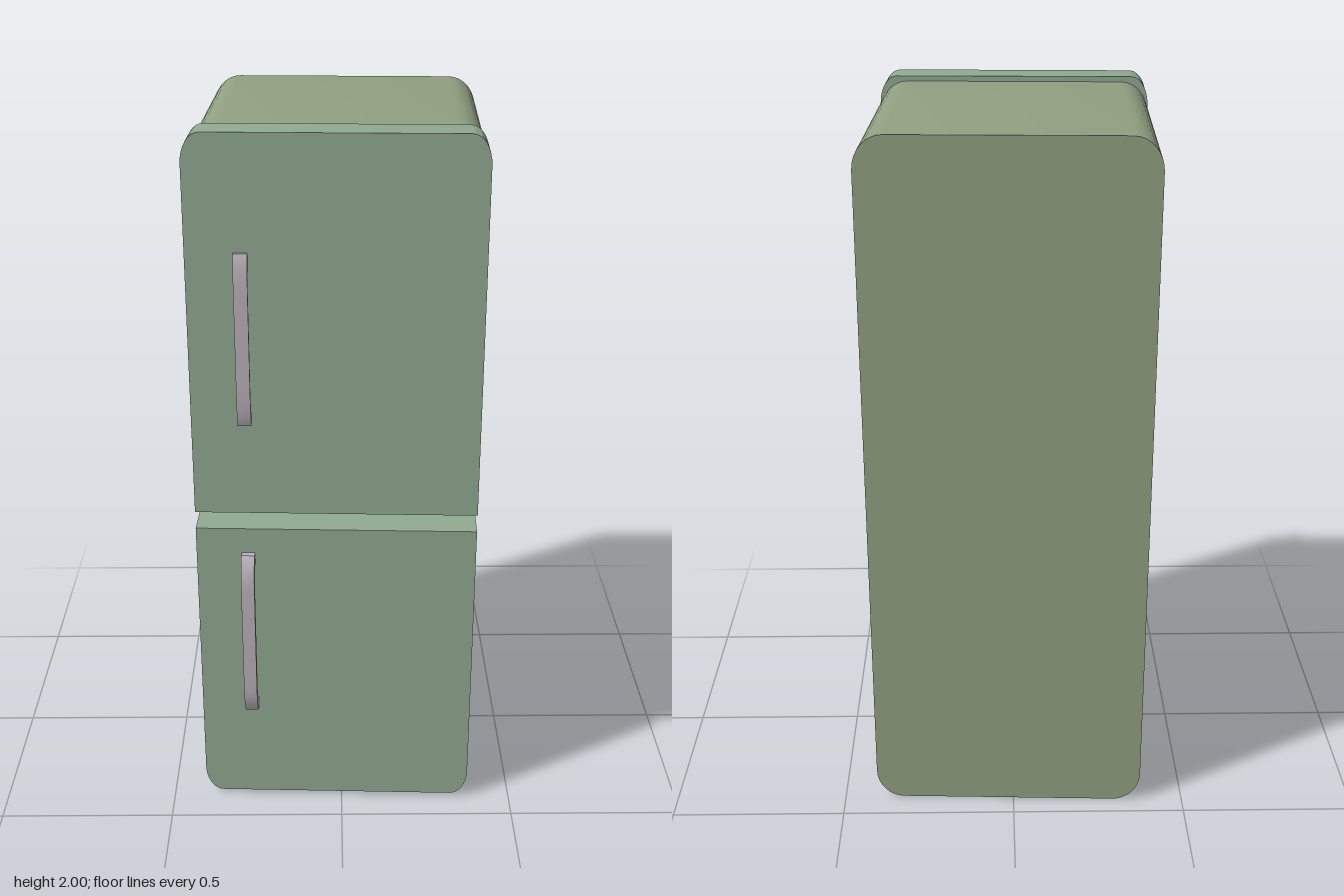
import * as THREE from 'three';
import { toCreasedNormals } from 'three/addons/utils/BufferGeometryUtils.js';

const W = 0.39;            // half width
const BACK = -0.416, SEAM = 0.311, FRONT = 0.416;

const material = (color) => new THREE.MeshStandardMaterial({ color });

// Rectangle whose top and bottom corners may be rounded separately
function panelShape(y0, y1, rx, ry, roundBottom, roundTop) {
  const s = new THREE.Shape();
  const bx = roundBottom ? rx : 0, by = roundBottom ? ry : 0;
  const tx = roundTop ? rx : 0, ty = roundTop ? ry : 0;
  const k = 0.45;
  s.moveTo(-W + bx, y0);
  s.lineTo(W - bx, y0);
  if (roundBottom) s.bezierCurveTo(W - bx * k, y0, W, y0 + by * k, W, y0 + by);
  s.lineTo(W, y1 - ty);
  if (roundTop) s.bezierCurveTo(W, y1 - ty * k, W - tx * k, y1, W - tx, y1);
  s.lineTo(-W + tx, y1);
  if (roundTop) s.bezierCurveTo(-W + tx * k, y1, -W, y1 - ty * k, -W, y1 - ty);
  s.lineTo(-W, y0 + by);
  if (roundBottom) s.bezierCurveTo(-W, y0 + by * k, -W + bx * k, y0, -W + bx, y0);
  return s;
}

function slab(name, shape, z0, z1, mat) {
  const geo = new THREE.ExtrudeGeometry(shape, { depth: z1 - z0, bevelEnabled: false, curveSegments: 8 });
  geo.translate(0, 0, z0);
  const mesh = new THREE.Mesh(toCreasedNormals(geo, 0.6), mat);
  mesh.name = name;
  return mesh;
}

// Arched bar handle: side profile (u = outwards, v = up) with an open grip
function handle(name, y0, y1, reach, mat) {
  const h = y1 - y0, t = 0.38 * reach, foot = 0.035, w = 0.037;
  const s = new THREE.Shape();
  s.moveTo(-0.005, 0);
  s.lineTo(reach * 0.35, 0);
  s.quadraticCurveTo(reach, 0.03, reach, 0.1);
  s.lineTo(reach, h - 0.1);
  s.quadraticCurveTo(reach, h - 0.03, reach * 0.35, h);
  s.lineTo(-0.005, h);
  s.lineTo(-0.005, h - foot);
  s.lineTo(reach * 0.2, h - foot);
  s.quadraticCurveTo(reach - t, h - foot - 0.02, reach - t, h - 0.11);
  s.lineTo(reach - t, 0.11);
  s.quadraticCurveTo(reach - t, foot + 0.02, reach * 0.2, foot);
  s.lineTo(-0.005, foot);
  const geo = new THREE.ExtrudeGeometry(s, { depth: w, bevelEnabled: false, curveSegments: 6 });
  geo.translate(0, 0, -w / 2);
  geo.rotateY(-Math.PI / 2);   // outwards becomes +z
  const mesh = new THREE.Mesh(toCreasedNormals(geo, 0.6), mat);
  mesh.name = name;
  mesh.position.set(-0.245, y0, FRONT);
  return mesh;
}

export function createModel() {
  const model = new THREE.Group();
  model.name = 'refrigerator';
  const bodyMat = material(0x8f9f80), doorMat = material(0x8fa890), metal = material(0xb8b0b8);

  // Cabinet
  model.add(slab('cabinet', panelShape(0, 1.985, 0.08, 0.09, true, true), BACK, SEAM, bodyMat));

  // Doors, rounded only at their outer ends
  model.add(slab('upperDoor', panelShape(0.945, 2, 0.05, 0.08, false, true), SEAM, FRONT, doorMat));
  model.add(slab('lowerDoor', panelShape(0.01, 0.895, 0.05, 0.08, true, false), SEAM, FRONT, doorMat));

  // Recessed strip between the doors
  const strip = new THREE.Mesh(new THREE.BoxGeometry(0.66, 0.024, 0.03), doorMat);
  strip.name = 'doorDivider';
  strip.position.set(0, 0.92, SEAM + 0.013);
  model.add(strip);

  // Handles: the upper one lies flatter
  model.add(handle('upperHandle', 1.21, 1.69, 0.024, metal));
  model.add(handle('lowerHandle', 0.31, 0.82, 0.052, metal));

  // The whole appliance is turned slightly
  model.rotation.y = -0.037;
  model.position.z = -0.014;
  const root = new THREE.Group();
  root.name = 'refrigeratorRoot';
  root.add(model);
  return root;
}
